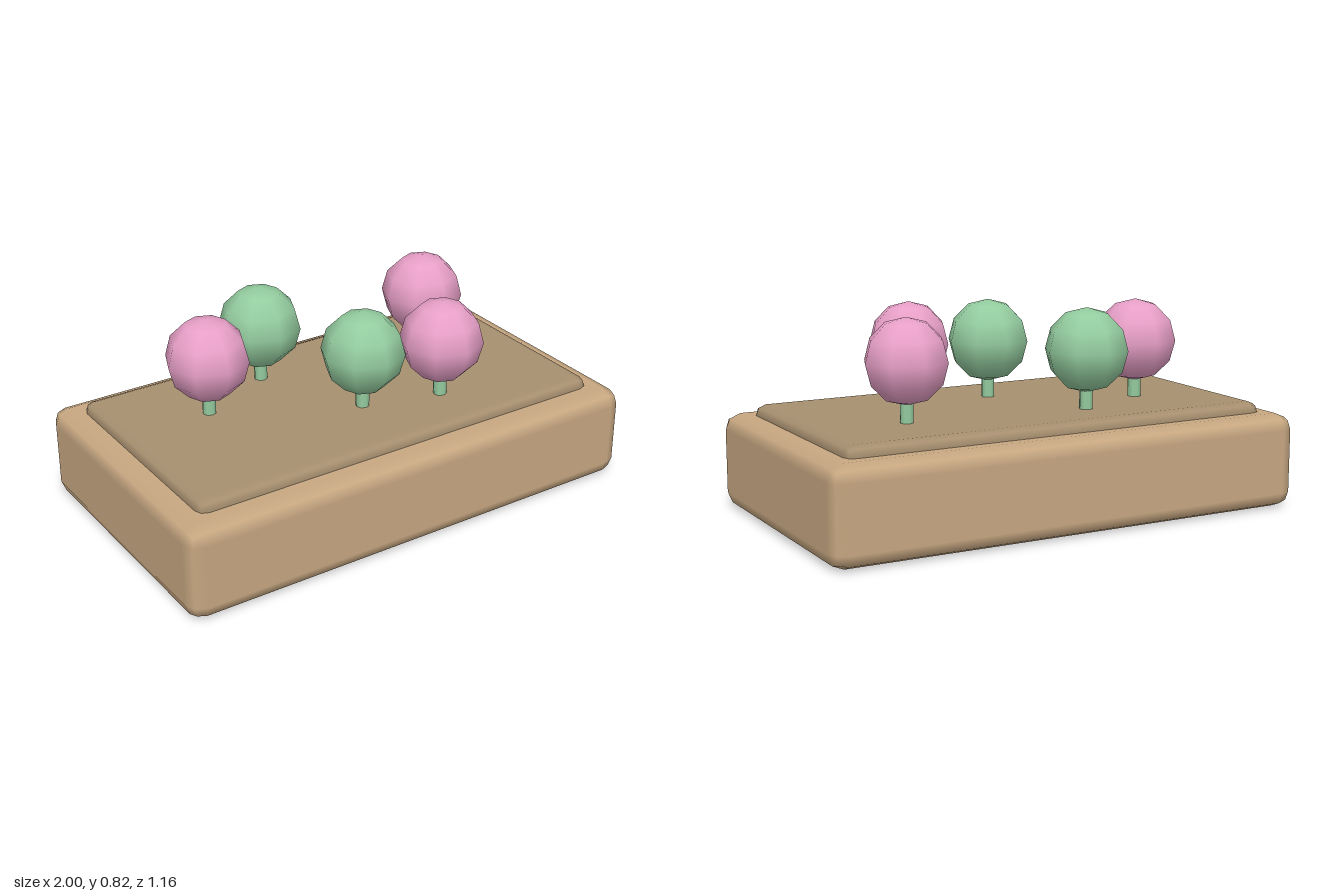
import * as THREE from 'three';
import { RoundedBoxGeometry } from 'three/addons/geometries/RoundedBoxGeometry.js';

const material = (color) => new THREE.MeshStandardMaterial({ color });

export function createModel() {
  const model = new THREE.Group();
  model.name = 'planter';

  const add = (parent, name, geometry, mat, x, y, z) => {
    const mesh = new THREE.Mesh(geometry, mat);
    mesh.name = name;
    mesh.position.set(x, y, z);
    parent.add(mesh);
    return mesh;
  };

  // Planter body and the slightly raised soil slab sunk into its top
  add(model, 'planterBody', new RoundedBoxGeometry(2, 0.38, 1.16, 1, 0.063), material(0xc8a882), 0, 0.19, 0);
  add(model, 'soil', new RoundedBoxGeometry(1.8, 0.084, 0.95, 1, 0.04), material(0xa89070), 0, 0.38, 0);

  // Round plants: a short stem with a low-poly ball on top
  const pink = material(0xe8a0c8);
  const green = material(0x94cc9f);
  const stemGeometry = new THREE.CylinderGeometry(0.027, 0.027, 0.2, 8);
  const crownGeometry = new THREE.SphereGeometry(0.167, 8, 6);

  const plants = [
    [-0.53, -0.11, pink],
    [-0.21, -0.255, green],
    [0, 0.167, green],
    [0.315, 0.25, pink],
    [0.525, -0.17, pink],
  ];
  for (const [x, z, crownMaterial] of plants) {
    const plant = new THREE.Group();
    plant.name = 'plant';
    plant.position.set(x, 0, z);
    add(plant, 'stem', stemGeometry, green, 0, 0.5, 0);
    add(plant, 'crown', crownGeometry, crownMaterial, 0, 0.655, 0);
    model.add(plant);
  }

  return model;
}
